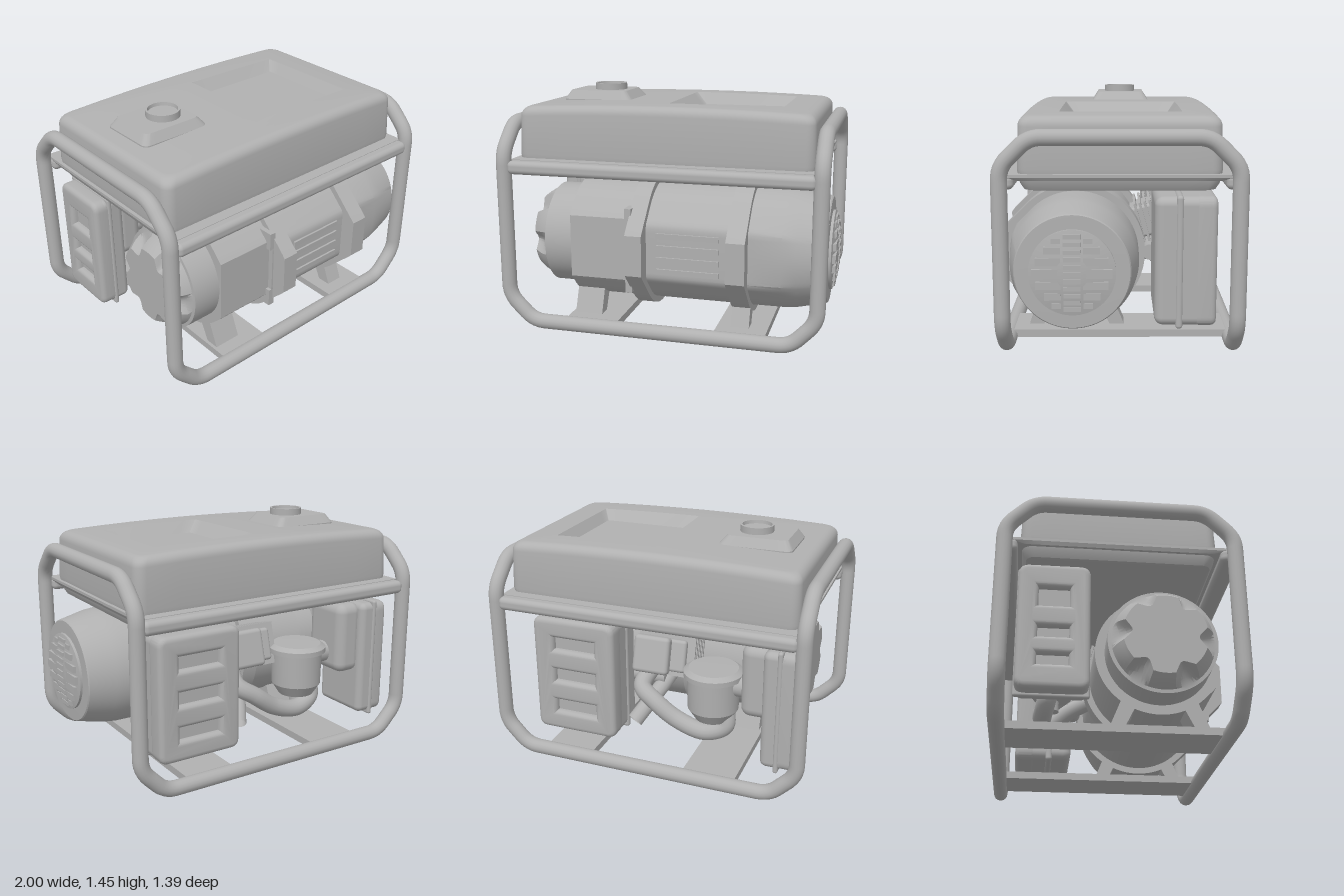
import * as THREE from 'three';
import { toCreasedNormals } from 'three/addons/utils/BufferGeometryUtils.js';
import { RoundedBoxGeometry } from 'three/addons/geometries/RoundedBoxGeometry.js';

const V = (x, y, z) => new THREE.Vector3(x, y, z);
const AXIS_Y = 0.52, AXIS_Z = 0.245; // shaft of engine and alternator

// Closed solid through rings of equal point count, faces turned outward
function loft(rings, crease = 0.45) {
  const n = rings[0].length, pos = [], idx = [];
  rings.forEach(r => r.forEach(p => pos.push(p.x, p.y, p.z)));
  for (let i = 0; i < rings.length - 1; i++) for (let j = 0; j < n; j++) {
    const a = i * n + j, b = i * n + (j + 1) % n;
    idx.push(a, b, a + n, b, b + n, a + n);
  }
  [rings[0], rings[rings.length - 1]].forEach((ring, end) => {
    const c = ring.reduce((s, p) => s.add(p), V(0, 0, 0)).divideScalar(n);
    const ci = pos.length / 3, off = end ? (rings.length - 1) * n : 0;
    pos.push(c.x, c.y, c.z);
    for (let j = 0; j < n; j++) {
      const a = off + j, b = off + (j + 1) % n;
      if (end) idx.push(a, b, ci); else idx.push(b, a, ci);
    }
  });
  const at = i => V(pos[3 * i], pos[3 * i + 1], pos[3 * i + 2]);
  let vol = 0;
  for (let i = 0; i < idx.length; i += 3) vol += at(idx[i]).dot(at(idx[i + 1]).cross(at(idx[i + 2])));
  if (vol < 0) idx.reverse();
  const g = new THREE.BufferGeometry();
  g.setAttribute('position', new THREE.Float32BufferAttribute(pos, 3));
  g.setIndex(idx);
  return toCreasedNormals(g, crease);
}

// Level rounded rectangle with evenly divided sides
function rectRing(x0, x1, z0, z1, r, y, lift = () => 0) {
  const pts = [];
  const corners = [[x1 - r, z1 - r], [x0 + r, z1 - r], [x0 + r, z0 + r], [x1 - r, z0 + r]];
  corners.forEach(([cx, cz], k) => {
    const arc = [];
    for (let i = 0; i <= 6; i++) {
      const a = (k + i / 6) * Math.PI / 2;
      arc.push([cx + r * Math.cos(a), cz + r * Math.sin(a)]);
    }
    const e = (k + 1) * Math.PI / 2, [nx, nz] = corners[(k + 1) % 4];
    const end = [nx + r * Math.cos(e), nz + r * Math.sin(e)], s = arc[6];
    for (let i = 1; i < 8; i++) arc.push([s[0] + (end[0] - s[0]) * i / 8, s[1] + (end[1] - s[1]) * i / 8]);
    arc.forEach(([x, z]) => pts.push(V(x, y + lift(x), z)));
  });
  return pts;
}

// Round section about the shaft whose front is cut to three flats (blend 0 = round)
function hullRing(x, r, front, blend = 1) {
  return Array.from({ length: 96 }, (_, i) => {
    const a = i / 96 * Math.PI * 2, b = Math.abs(a > Math.PI ? a - 2 * Math.PI : a);
    const flat = b < Math.PI / 4 ? Math.min(r / Math.cos(b - Math.PI / 4), front / Math.cos(b)) : r;
    const d = r + (flat - r) * blend;
    return V(x, AXIS_Y + d * Math.sin(a), AXIS_Z + d * Math.cos(a));
  });
}

// Closed polyline with softened corners
function softPath(pts, cut) {
  const path = new THREE.CurvePath(), n = pts.length;
  const toward = (a, b) => a.clone().add(b.clone().sub(a).setLength(cut));
  pts.forEach((p, i) => {
    const prev = pts[(i + n - 1) % n], next = pts[(i + 1) % n];
    path.add(new THREE.QuadraticBezierCurve3(toward(p, prev), p, toward(p, next)));
    path.add(new THREE.LineCurve3(toward(p, next), toward(next, p)));
  });
  return path;
}

// Bevelled cover plate with rectangular windows [y, width, height]
function slottedCover(w, h, depth, windows) {
  const r = 0.06, s = new THREE.Shape(), x = w / 2, y = h / 2;
  s.moveTo(-x + r, -y);
  s.lineTo(x - r, -y).quadraticCurveTo(x, -y, x, -y + r);
  s.lineTo(x, y - r).quadraticCurveTo(x, y, x - r, y);
  s.lineTo(-x + r, y).quadraticCurveTo(-x, y, -x, y - r);
  s.lineTo(-x, -y + r).quadraticCurveTo(-x, -y, -x + r, -y);
  windows.forEach(([cy, ww, hh]) => s.holes.push(new THREE.Path([
    [-ww / 2, cy - hh / 2], [-ww / 2, cy + hh / 2], [ww / 2, cy + hh / 2], [ww / 2, cy - hh / 2],
  ].map(p => new THREE.Vector2(...p)))));
  const g = new THREE.ExtrudeGeometry(s, { depth: depth - 0.03, bevelThickness: 0.03, bevelSize: 0.03, bevelOffset: -0.03, bevelSegments: 4 });
  return toCreasedNormals(g, 0.5);
}

export function createModel() {
  const root = new THREE.Group();
  const grey = new THREE.MeshStandardMaterial({ color: 0xb0b0b0, side: THREE.DoubleSide });
  grey.name = 'grey';
  const add = (name, geo, x = 0, y = 0, z = 0, parent = root) => {
    const m = new THREE.Mesh(geo, grey);
    m.name = name;
    m.position.set(x, y, z);
    parent.add(m);
    return m;
  };
  // Box from its limits, rounded when r is given
  const box = (name, x0, x1, y0, y1, z0, z1, r = 0, parent = root) => {
    const s = [x1 - x0, y1 - y0, z1 - z0];
    return add(name, r ? new RoundedBoxGeometry(...s, 4, r) : new THREE.BoxGeometry(...s),
      (x0 + x1) / 2, (y0 + y1) / 2, (z0 + z1) / 2, parent);
  };

  // Tubular frame: two bottom rails joined by an arch at each end
  const zf = 0.63, zb = -0.65, L = -0.955, R = 0.914;
  const half = (x, inner, za, zc) => [
    V(inner, 0.045, za), V(x, 0.2, za), V(x, 1.08, za), V(x, 1.238, za - Math.sign(za) * 0.16),
    V(x, 1.238, zc - Math.sign(zc) * 0.16), V(x, 1.08, zc), V(x, 0.2, zc), V(inner, 0.045, zc)];
  add('tubeFrame', new THREE.TubeGeometry(
    softPath([...half(R, 0.765, zf, zb), ...half(L, -0.8, zb, zf)], 0.07), 420, 0.045, 16, true));

  // Cross plates and splayed feet
  [[-0.59, -0.27], [0.32, 0.62]].forEach(([a, b]) => box('crossPlate', a, b, 0.038, 0.082, zb, zf));
  const footShapes = [[[0.525, 0.08], [0.44, 0.08], [0.36, 0.24], [0.46, 0.24]],
    [[0.05, 0.08], [-0.035, 0.08], [0.03, 0.24], [0.13, 0.24]]];
  [[-0.57, -0.4], [0.4, 0.51]].forEach(([a, b]) => footShapes.forEach(pts => {
    const s = new THREE.Shape(pts.map(p => new THREE.Vector2(...p)));
    add('foot', new THREE.ExtrudeGeometry(s, { depth: b - a, bevelEnabled: false }), b).rotation.y = -Math.PI / 2;
  }));

  // Fuel tank with a sunken tray in its gently crowned top
  const lift = x => -0.022 * (x / 0.88) ** 2;
  const tankRing = (inset, y, r) => rectRing(-0.903 + inset, 0.867 - inset, -0.565 + inset, 0.545 - inset, r, y, y > 1.2 ? lift : undefined);
  const tankRings = [tankRing(0.07, 0.936, 0.04), tankRing(0.035, 0.946, 0.05), tankRing(0.015, 0.98, 0.06), tankRing(0.005, 1.02, 0.06), tankRing(0, 1.06, 0.06)];
  for (let i = 0; i <= 6; i++) {
    const a = i / 6 * Math.PI / 2;
    tankRings.push(tankRing(0.008 + 0.055 * (1 - Math.cos(a)), 1.307 + 0.055 * Math.sin(a), 0.06));
  }
  tankRings.push(rectRing(-0.022, 0.643, -0.355, 0.325, 0.004, 1.362, lift),
    rectRing(0.053, 0.598, -0.3, 0.265, 0.004, 1.29));
  add('fuelTank', loft(tankRings));
  add('tankFlange', loft([
    rectRing(-0.91, 0.872, -0.575, 0.555, 0.05, 1.0), rectRing(-0.92, 0.885, -0.63, 0.61, 0.01, 1.02),
    rectRing(-0.92, 0.885, -0.63, 0.61, 0.01, 1.036)]));
  box('tankRailFront', -0.925, 0.887, 0.953, 1.033, 0.557, 0.667, 0.03);
  box('tankRailBack', -0.925, 0.887, 0.953, 1.033, -0.687, -0.577, 0.03);

  // Filler mount and cap
  add('fillerMount', loft([rectRing(-0.758, -0.318, -0.2, 0.168, 0.04, 1.32), rectRing(-0.758, -0.318, -0.2, 0.168, 0.04, 1.352),
    rectRing(-0.723, -0.363, -0.165, 0.135, 0.03, 1.405)]));
  const capProfile = [[0, 1.4], [0.1, 1.4], [0.1, 1.445], [0.088, 1.445], [0.085, 1.425], [0, 1.425]];
  add('fillerCap', toCreasedNormals(new THREE.LatheGeometry(capProfile.map(p => new THREE.Vector2(...p)), 40), 0.5), -0.503, 0, -0.012);

  // Engine and alternator housing
  add('crankcase', loft([hullRing(-0.57, 0.365, 0.325), hullRing(-0.2, 0.365, 0.325)]));
  add('alternator', loft([hullRing(-0.2, 0.365, 0.355), hullRing(0.5, 0.365, 0.355), hullRing(0.7, 0.364, 0.364, 0.5),
    hullRing(0.78, 0.355, 0.355, 0.2), hullRing(0.94, 0.317, 0.317, 0), hullRing(0.947, 0.311, 0.311, 0), hullRing(0.949, 0.23, 0.23, 0)]));
  [[-0.19, -0.09], [0.4, 0.51]].forEach(([a, b]) => add('clampBand', loft([hullRing(a, 0.403, 0.448), hullRing(b, 0.403, 0.448)])));
  [0.72, 0.32].forEach(y => box('clampLug', -0.22, -0.18, y - 0.055, y + 0.055, 0.5, 0.6));
  [0.628, 0.556, 0.485, 0.414].forEach(y => {
    box('coolingSlat', -0.028, 0.343, y - 0.016, y + 0.016, 0.58, 0.612);
  });

  // Recoil starter with scalloped rim
  const round = (x, r, cut = 0) => hullRing(x, r, r, 0).map(p => {
    const a = Math.atan2(p.y - AXIS_Y, p.z - AXIS_Z), k = 1 - cut * Math.max(0, Math.cos(a * 6 + 0.4));
    return V(p.x, AXIS_Y + (p.y - AXIS_Y) * k, AXIS_Z + (p.z - AXIS_Z) * k);
  });
  add('starterHousing', loft([round(-0.56, 0.31), round(-0.745, 0.31), round(-0.747, 0.29), round(-0.765, 0.283, 0.12),
    round(-0.795, 0.27, 0.22), round(-0.825, 0.25, 0.25), round(-0.845, 0.235, 0.22)]));

  // Domed end grille
  const grille = new THREE.Group();
  grille.name = 'endGrille';
  grille.position.set(0, AXIS_Y, AXIS_Z);
  root.add(grille);
  add('grilleDome', loft([[0.94, 0.235], [0.964, 0.235], [0.977, 0.17], [0.988, 0.1], [0.992, 0.05]].map(([x, r]) => round(x, r))));
  const slot = (z0, z1, y, h) => {
    const d = Math.hypot((z0 + z1) / 2, y), x = 1 - 0.03 * (d / 0.235) ** 2;
    box('grilleBar', x - 0.02, x, y - h / 2, y + h / 2, z0, z1, 0, grille);
  };
  for (let i = 0; i < 11; i++) slot(-0.046, 0.046, (i - 5) * 0.04, 0.024);
  slot(0.06, 0.215, 0, 0.05);
  slot(-0.215, -0.06, 0, 0.05);
  [[0.065, 0.042, 0.195], [0.127, 0.038, 0.15], [0.178, 0.03, 0.11]].forEach(([y, h, w]) => [1, -1].forEach(s => {
    slot(0.06, w, y * s, h);
    slot(-w, -0.06, y * s, h);
  }));

  // Muffler
  box('mufflerBody', 0.207, 0.737, 0.14, 0.885, -0.515, -0.205, 0.05);
  box('mufflerSeam', 0.197, 0.747, 0.128, 0.895, -0.365, -0.325, 0.018);
  add('mufflerCover', slottedCover(0.534, 0.749, 0.1, [[0.21, 0.27, 0.08], [0, 0.27, 0.08], [-0.21, 0.27, 0.08]]), 0.472, 0.512, -0.457).rotation.y = Math.PI;

  // Air filter with its duct
  box('filterBody', -0.87, -0.71, 0.15, 0.88, -0.562, -0.172, 0.04);
  box('filterSeam', -0.825, -0.795, 0.13, 0.895, -0.57, -0.165, 0.014);
  add('filterCover', slottedCover(0.394, 0.734, 0.1, [[0.17, 0.17, 0.11], [-0.04, 0.17, 0.06], [-0.2, 0.17, 0.06]]), -0.81, 0.515, -0.367).rotation.y = -Math.PI / 2;
  box('filterDuct', -0.75, -0.57, 0.43, 0.88, -0.52, -0.2, 0.06);

  // Tilted finned cylinder and its head
  const cylinder = new THREE.Group();
  cylinder.name = 'finnedCylinder';
  cylinder.position.set(-0.02, 0.6, -0.1);
  cylinder.rotation.x = 0.26;
  root.add(cylinder);
  box('cylinderCore', -0.15, 0.13, -0.1, 0.1, -0.24, 0.1, 0.02, cylinder);
  for (let i = 0; i < 6; i++) box('coolingFin', -0.2, 0.17, -0.13, 0.13, -0.045 - i * 0.032, -0.03 - i * 0.032, 0, cylinder);
  box('cylinderHead', -0.06, 0.17, -0.12, 0.11, -0.3, -0.225, 0.025, cylinder);

  // Carburettor bowl with lid
  const bowl = [[0, 0.23], [0.04, 0.23], [0.04, 0.29], [0.11, 0.31], [0.155, 0.38], [0.16, 0.59], [0.182, 0.59], [0.182, 0.62], [0.15, 0.642], [0, 0.645]];
  add('carburettor', toCreasedNormals(new THREE.LatheGeometry(bowl.map(p => new THREE.Vector2(...p)), 32), 0.5), -0.36, 0, -0.35);
  add('carburettorInlet', new THREE.CylinderGeometry(0.07, 0.07, 0.3, 20), -0.5, 0.55, -0.35).rotation.z = Math.PI / 2;

  // Curved hose and open outlet pipe
  const hose = new THREE.CatmullRomCurve3([V(0.08, 0.52, -0.25), V(0.1, 0.44, -0.36), V(0, 0.37, -0.4), V(-0.15, 0.27, -0.4), V(-0.33, 0.225, -0.4), V(-0.45, 0.28, -0.38), V(-0.44, 0.4, -0.36)]);
  add('hose', new THREE.TubeGeometry(hose, 60, 0.055, 16));
  const outlet = new THREE.CatmullRomCurve3([V(0.0, 0.44, -0.12), V(0.03, 0.38, -0.24), V(0.08, 0.3, -0.34), V(0.13, 0.22, -0.42)]);
  add('outletPipe', new THREE.TubeGeometry(outlet, 30, 0.05, 16));
  add('mufflerPipe', new THREE.CylinderGeometry(0.05, 0.05, 0.24, 20), 0.12, 0.45, -0.2).rotation.z = Math.PI / 2;
  return root;
}
